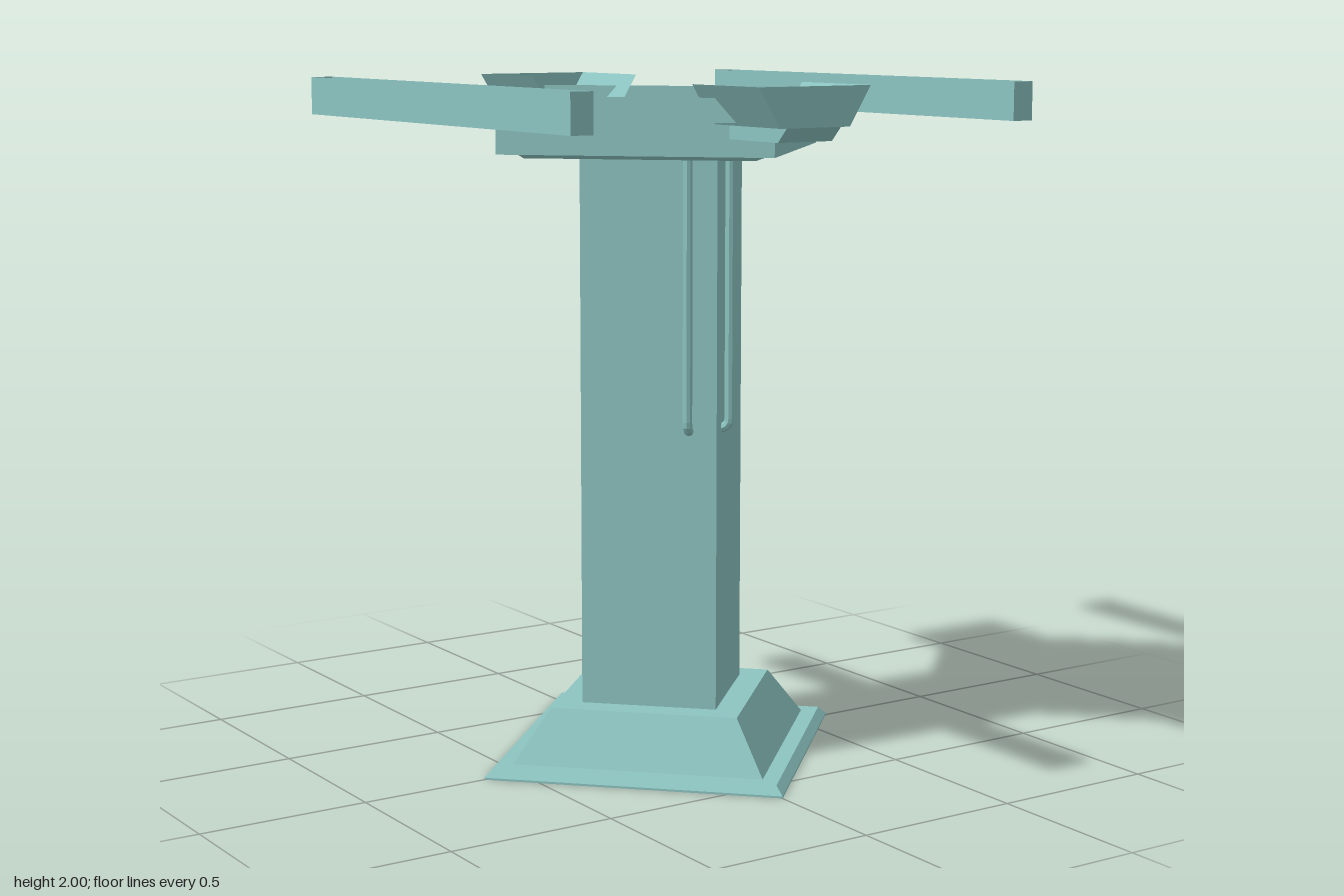
import * as THREE from 'three';

export function createModel() {
  const root = new THREE.Group();
  root.name = 'pedestal';
  const stone = new THREE.MeshStandardMaterial({ color: 0x8cc4c1, flatShading: true, side: THREE.DoubleSide });
  stone.name = 'paleTealStone';

  function add(name, geometry, parent = root) {
    const mesh = new THREE.Mesh(geometry, stone);
    mesh.name = name;
    parent.add(mesh);
    return mesh;
  }

  // Four-sided turned form with its corners on the x and z axes
  const diamond = (profile) =>
    new THREE.LatheGeometry(profile.map(([r, y]) => new THREE.Vector2(r, y)), 4);

  // Flat-faced surface from four-cornered faces, counter-clockwise from outside
  function panels(corners, faces) {
    const pos = [];
    for (const [a, b, c, d] of faces)
      for (const i of [a, b, c, a, c, d]) pos.push(...corners[i]);
    const g = new THREE.BufferGeometry();
    g.setAttribute('position', new THREE.Float32BufferAttribute(pos, 3));
    g.computeVertexNormals();
    return g;
  }

  // Open-topped channel: bottom half width, top half width, floor, rim, near and far z
  function channel(wBottom, wTop, y0, y1, z0, z1, closedBack) {
    const corners = [];
    for (const z of [z0, z1])
      corners.push([-wBottom, y0, z], [wBottom, y0, z], [wTop, y1, z], [-wTop, y1, z]);
    const faces = [
      [0, 1, 5, 4], // floor
      [1, 2, 6, 5], // +x wall
      [3, 0, 4, 7], // -x wall
      [4, 5, 6, 7], // +z end
    ];
    if (closedBack) faces.push([1, 0, 3, 2]);
    return panels(corners, faces);
  }

  // Hollow stepped foot
  add('base', diamond([[0.617, 0], [0.617, 0.006], [0.587, 0.03], [0.52, 0.03], [0.39, 0.18], [0, 0.18]]));

  // Square shaft
  add('shaft', diamond([[0.283, 0.18], [0.283, 1.79]]));

  // Stepped capital ending in an open tray
  add('capital', diamond([
    [0, 1.787], [0.468, 1.787], [0.49, 1.8], [0.557, 1.8],
    [0.557, 1.898], [0.667, 1.898], [0.667, 1.965],
  ]));
  add('trayFloor', diamond([[0.667, 1.901], [0, 1.901]]));

  // Thin pipes on the shaft faces, hooked into the stone at the bottom
  for (const sx of [-1, 1]) {
    for (const sz of [-1, 1]) {
      const at = (inset, y) => new THREE.Vector3(sx * (0.073 - inset), y, sz * (0.241 - inset));
      const path = new THREE.CurvePath();
      path.add(new THREE.LineCurve3(at(0, 1.79), at(0, 1.03)));
      path.add(new THREE.QuadraticBezierCurve3(at(0, 1.03), at(0, 1.002), at(0.025, 1.0)));
      add('pipe', new THREE.TubeGeometry(path, 60, 0.014, 8, false));
    }
  }

  // Spouts at front and back, each with a chamfered bracket underneath
  for (const side of [0, 1]) {
    const spout = new THREE.Group();
    spout.name = side ? 'backSpout' : 'frontSpout';
    spout.rotation.y = side * Math.PI;
    root.add(spout);
    add('spoutTrough', channel(0.116, 0.185, 1.89, 2, 0.428, 0.74, false), spout);

    const w = 0.09;
    const corners = [];
    for (const x of [-w, w])
      corners.push([x, 1.89, 0.47], [x, 1.85, 0.47], [x, 1.85, 0.695], [x, 1.89, 0.735]);
    add('spoutBracket', panels(corners, [
      [0, 1, 2, 3], [7, 6, 5, 4], [1, 5, 6, 2], [2, 6, 7, 3], [0, 4, 5, 1],
    ]), spout);
  }

  // Open-topped side channels
  for (const [name, x] of [['leftChannel', 0.729], ['rightChannel', -0.729]])
    add(name, channel(0.034, 0.034, 1.89, 2, -0.74, 0.74, true)).position.x = x;

  return root;
}
